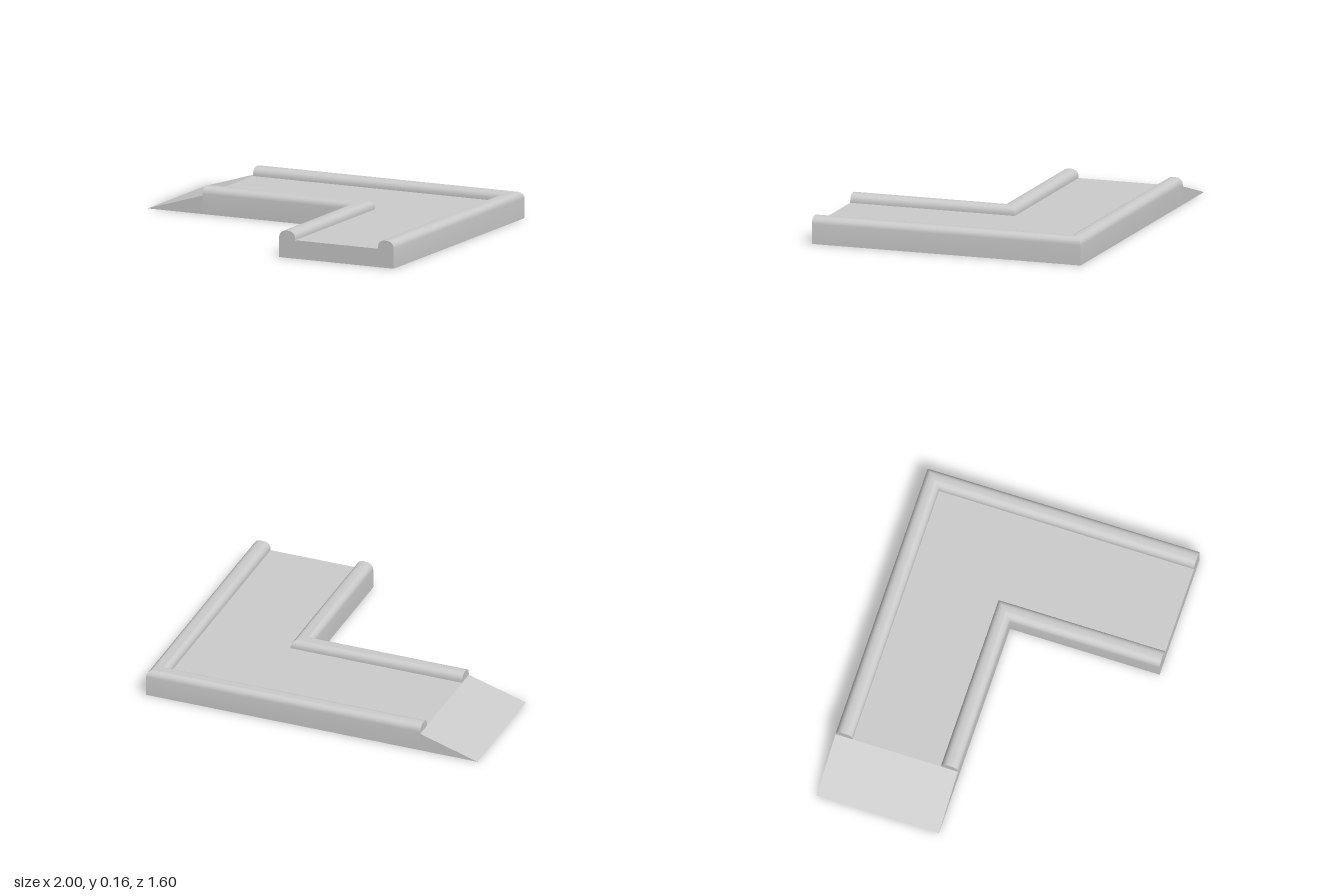
import * as THREE from 'three';
import { toCreasedNormals } from 'three/addons/utils/BufferGeometryUtils.js';

const WIDTH = 0.72, FLOOR = 0.105, TOP = 0.155, RAIL = 0.1;
const RAMP_X = -0.655, BACK = -0.8, FRONT = 0.8, RIGHT = 1;

// Quarter arc points, from angle a0 to a1
function arc(cx, cy, r, a0, a1, n = 5) {
  return Array.from({ length: n + 1 }, (_, i) => {
    const a = a0 + (a1 - a0) * i / n;
    return new THREE.Vector2(cx + r * Math.cos(a), cy + r * Math.sin(a));
  });
}

// Rounded top of one rail whose outer edge starts at u
function railTop(u, r = 0.04) {
  return [
    ...arc(u + r, TOP - r, r, Math.PI, Math.PI / 2),
    ...arc(u + RAIL - r, TOP - r, r, Math.PI / 2, 0),
  ];
}

// Cross-section: u runs from the outer edge to the inner edge, y is up
function trackProfile() {
  return [
    new THREE.Vector2(0, 0),
    ...railTop(0),
    new THREE.Vector2(RAIL, FLOOR),
    new THREE.Vector2(WIDTH - RAIL, FLOOR),
    ...railTop(WIDTH - RAIL),
    new THREE.Vector2(WIDTH, 0),
  ];
}

// Sweep the profile round the mitred corner and close both ends
function trackGeometry() {
  const profile = trackProfile(), n = profile.length;
  const stations = [
    u => [RAMP_X, BACK + u],
    u => [RIGHT - u, BACK + u],
    u => [RIGHT - u, FRONT],
  ];
  const positions = [], index = [];
  for (const station of stations) {
    for (const p of profile) {
      const [x, z] = station(p.x);
      positions.push(x, p.y, z);
    }
  }
  const last = stations.length - 1;
  for (let s = 0; s < last; s++) {
    for (let i = 0; i < n; i++) {
      const j = (i + 1) % n;
      const a = s * n + i, b = s * n + j, c = a + n, d = b + n;
      index.push(a, b, c, b, d, c);
    }
  }
  for (const [i, j, k] of THREE.ShapeUtils.triangulateShape(profile, [])) {
    const ccw = THREE.ShapeUtils.area([profile[i], profile[j], profile[k]]) > 0;
    const [a, b, c] = ccw ? [i, j, k] : [i, k, j];
    const e = last * n;
    index.push(a, b, c, e + a, e + c, e + b);
  }
  const geometry = new THREE.BufferGeometry();
  geometry.setAttribute('position', new THREE.Float32BufferAttribute(positions, 3));
  geometry.setIndex(index);
  return toCreasedNormals(geometry, Math.PI / 5);
}

// Wedge that leads up to the track floor
function rampGeometry() {
  const side = new THREE.Shape([
    new THREE.Vector2(-1, 0),
    new THREE.Vector2(RAMP_X, 0),
    new THREE.Vector2(RAMP_X, FLOOR),
  ]);
  return new THREE.ExtrudeGeometry(side, { depth: WIDTH, bevelEnabled: false }).translate(0, 0, BACK);
}

export function createModel() {
  const group = new THREE.Group();
  group.name = 'cornerTrack';
  const material = new THREE.MeshStandardMaterial({ color: 0xcccccc });
  const add = (name, geometry) => {
    const mesh = new THREE.Mesh(geometry, material);
    mesh.name = name;
    group.add(mesh);
  };
  add('railedTrack', trackGeometry());
  add('entryRamp', rampGeometry());
  return group;
}
